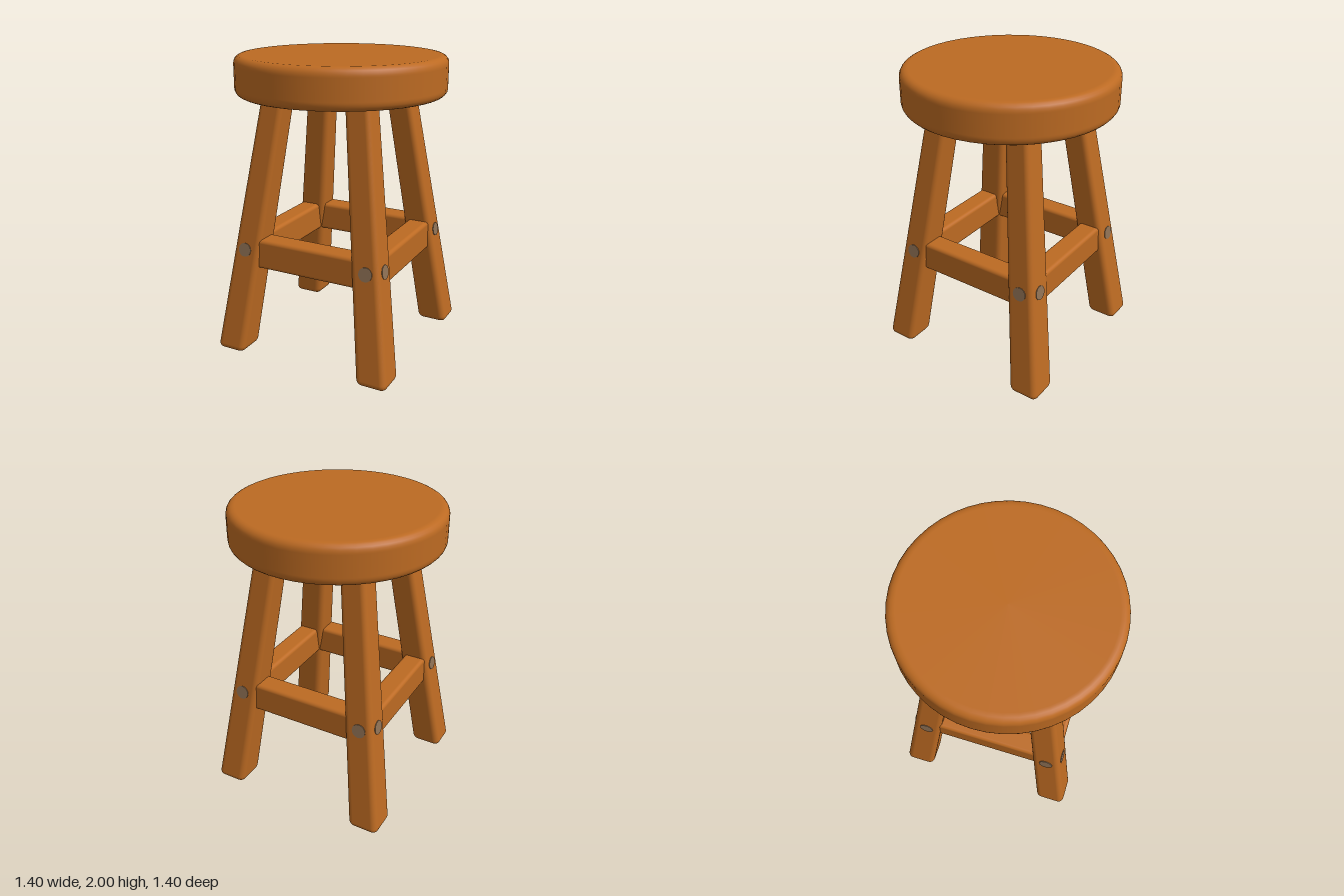
import * as THREE from 'three';
import { RoundedBoxGeometry } from 'three/addons/geometries/RoundedBoxGeometry.js';

const wood = new THREE.MeshStandardMaterial({ color: 0xbc6a22 });
wood.name = 'warm wood';
const pinGrey = new THREE.MeshStandardMaterial({ color: 0x8d7054 });
pinGrey.name = 'pin grey';

const SLOPE = 0.135; // how far a leg leans inwards per unit of height
const FOOT = 0.537;  // leg centre at the floor, on both x and z
const legCentre = y => FOOT - SLOPE * y;
const legHalf = y => 0.107 - 0.0127 * y;

function add(parent, name, geometry, material) {
  const mesh = new THREE.Mesh(geometry, material);
  mesh.name = name;
  parent.add(mesh);
  return mesh;
}

// Round seat slab with softened rims
function seatGeometry() {
  const R = 0.7, low = 1.74, high = 2, r = 0.05;
  const points = [new THREE.Vector2(0, low), new THREE.Vector2(R - r - 0.01, low)];
  for (let i = 0; i <= 5; i++) {
    const a = (i / 5) * Math.PI / 2;
    points.push(new THREE.Vector2(R - r + r * Math.sin(a), low + r - r * Math.cos(a)));
  }
  points.push(new THREE.Vector2(R, low + r + 0.01), new THREE.Vector2(R, high - r - 0.01));
  for (let i = 0; i <= 5; i++) {
    const a = (i / 5) * Math.PI / 2;
    points.push(new THREE.Vector2(R - r + r * Math.cos(a), high - r + r * Math.sin(a)));
  }
  points.push(new THREE.Vector2(R - r - 0.01, high), new THREE.Vector2(0, high));
  return new THREE.LatheGeometry(points, 48);
}

// Square leg with rounded edges, tapered and leaning towards the seat
function legGeometry(sx, sz) {
  const height = 1.85, width = 2 * legHalf(0);
  const g = new RoundedBoxGeometry(width, height, width, 3, 0.042);
  g.translate(0, height / 2, 0);
  const p = g.attributes.position;
  for (let i = 0; i < p.count; i++) {
    const k = legHalf(p.getY(i)) / legHalf(0);
    p.setX(i, p.getX(i) * k);
    p.setZ(i, p.getZ(i) * k);
  }
  return g.applyMatrix4(new THREE.Matrix4().set(
    1, -SLOPE * sx, 0, FOOT * sx,
    0, 1, 0, 0,
    0, -SLOPE * sz, 1, FOOT * sz,
    0, 0, 0, 1));
}

export function createModel() {
  const stool = new THREE.Group();
  stool.name = 'stool';
  add(stool, 'seat', seatGeometry(), wood);

  // Four legs, each with a pin on both outer faces
  const pinY = 0.73;
  const pinOut = legCentre(pinY) + legHalf(pinY);
  const tilt = Math.atan(SLOPE + 0.0127);
  for (const sx of [1, -1]) for (const sz of [1, -1]) {
    const name = (sz > 0 ? 'front' : 'back') + (sx > 0 ? 'Left' : 'Right');
    add(stool, name + 'Leg', legGeometry(sx, sz), wood);

    [[0, sz], [sx, 0]].forEach(([dx, dz]) => {
      const pin = add(stool, name + (dz ? 'EndPin' : 'SidePin'),
        new THREE.CylinderGeometry(0.047, 0.047, 0.009, 16), pinGrey);
      pin.position.set(sx * (dz ? 0.447 : pinOut), pinY, sz * (dz ? pinOut : 0.44));
      const outward = new THREE.Vector3(dx * Math.cos(tilt), Math.sin(tilt), dz * Math.cos(tilt));
      pin.quaternion.setFromUnitVectors(new THREE.Vector3(0, 1, 0), outward);
    });
  }

  // Four rungs joining neighbouring legs
  const rungY = 0.708, offset = legCentre(rungY);
  ['frontRung', 'leftRung', 'backRung', 'rightRung'].forEach((name, i) => {
    const rung = add(stool, name, new RoundedBoxGeometry(0.82, 0.205, 0.15, 3, 0.025), wood);
    const a = i * Math.PI / 2;
    rung.rotation.y = a;
    rung.position.set(Math.sin(a) * offset, rungY, Math.cos(a) * offset);
  });
  return stool;
}
